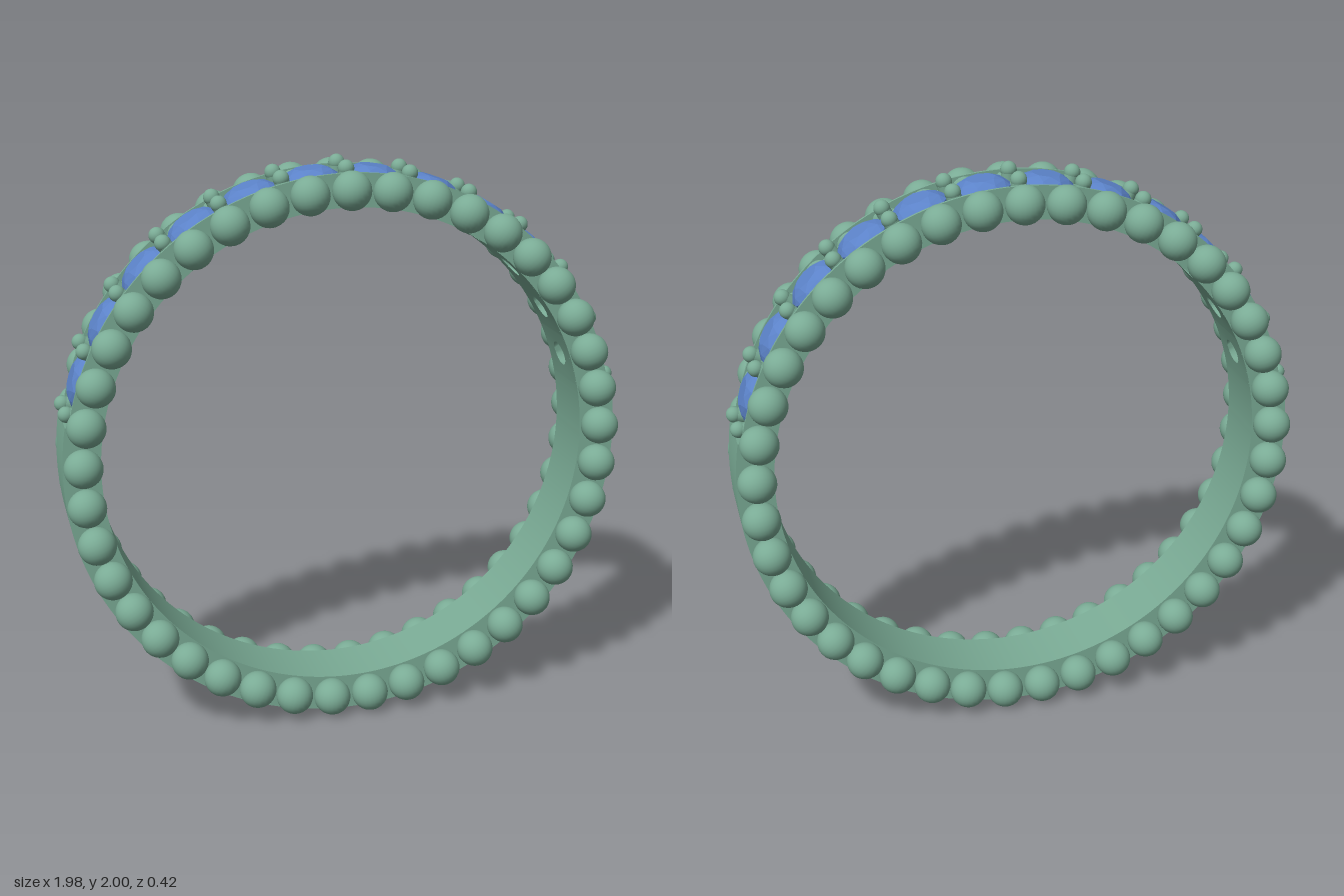
import * as THREE from 'three';
import { toCreasedNormals } from 'three/addons/utils/BufferGeometryUtils.js';
import { ConvexGeometry } from 'three/addons/geometries/ConvexGeometry.js';

const DEG = Math.PI / 180;
const CY = 0.988, R_IN = 0.86, R_OUT = 0.988, R_SEAT = 0.95, R_RIM = 0.975;
const HALF_W = 0.11, SEAT_W = 0.1, STEP = 13 * DEG, STONES = 12;

const metal = new THREE.MeshStandardMaterial({ color: 0x7aab95 });
const gem = new THREE.MeshStandardMaterial({ color: 0x5b82c8, flatShading: true });

// Solid arc of the band; angles are clockwise from the top
function arcSolid(radius, a0, a1, z0, z1) {
  const s = new THREE.Shape();
  const t0 = Math.PI / 2 - a0, t1 = Math.PI / 2 - a1;
  s.absarc(0, 0, radius, t0, t1, true);
  s.absarc(0, 0, R_IN, t1, t0, false);
  s.closePath();
  const g = new THREE.ExtrudeGeometry(s, { depth: z1 - z0, bevelEnabled: false, curveSegments: 96 });
  g.translate(0, 0, z0);
  return toCreasedNormals(g, 0.5);
}

// One curved cell of the upper band with a tapered hole through it
function seatCell() {
  const n = 32, pos = [], idx = [];
  // each row: radius on the band, hole radius, blend from hole (0) to cell edge (1)
  const rows = [
    [R_SEAT, 0.08, 1], [R_SEAT, 0.08, 0.5], [R_SEAT, 0.08, 0],
    [R_IN, 0.045, 0], [R_IN, 0.045, 0.5], [R_IN, 0.045, 1],
  ];
  for (const [R, hole, k] of rows) {
    for (let j = 0; j <= n; j++) {
      const c = Math.cos(j / n * 2 * Math.PI), s = Math.sin(j / n * 2 * Math.PI);
      const m = Math.max(Math.abs(c), Math.abs(s));
      const a = THREE.MathUtils.lerp(hole * c / R, STEP / 2 * c / m, k);
      const z = THREE.MathUtils.lerp(hole * s, SEAT_W * s / m, k);
      pos.push(R * Math.sin(a), R * Math.cos(a), z);
    }
  }
  for (let i = 0; i < rows.length - 1; i++) {
    for (let j = 0; j < n; j++) {
      const a = i * (n + 1) + j, b = a + 1, c = a + n + 1, d = c + 1;
      idx.push(a, c, b, b, c, d);
    }
  }
  const g = new THREE.BufferGeometry();
  g.setAttribute('position', new THREE.Float32BufferAttribute(pos, 3));
  g.setIndex(idx);
  return toCreasedNormals(g, 0.5);
}

// Round faceted stone, table facing +y
function stoneGeometry() {
  const pts = [];
  const ring = (count, r, y, offset) => {
    for (let i = 0; i < count; i++) {
      const a = (i + offset) / count * 2 * Math.PI;
      pts.push(new THREE.Vector3(r * Math.cos(a), y, r * Math.sin(a)));
    }
  };
  ring(8, 0.05, 0.987, 0);
  ring(8, 0.077, 0.975, 0.5);
  ring(16, 0.096, 0.957, 0);
  ring(16, 0.096, 0.951, 0);
  ring(8, 0.05, 0.912, 0.5);
  pts.push(new THREE.Vector3(0, 0.882, 0));
  return new ConvexGeometry(pts);
}

export function createModel() {
  const root = new THREE.Group();
  root.name = 'ring';
  const ring = new THREE.Group();
  ring.name = 'ringBody';
  ring.position.y = CY;
  root.add(ring);

  const add = (name, geometry, material, angle = 0, radius = 0, z = 0) => {
    const m = new THREE.Mesh(geometry, material);
    m.name = name;
    m.position.set(radius * Math.sin(angle), radius * Math.cos(angle), z);
    m.rotation.z = -angle;
    ring.add(m);
  };

  // Plain lower band, and the thin rims and ends of the stone channel
  const end = 80 * DEG, last = STEP * STONES / 2;
  add('lowerBand', arcSolid(R_OUT, end, 2 * Math.PI - end, -HALF_W, HALF_W), metal);
  add('frontChannelRim', arcSolid(R_RIM, -end, end, SEAT_W, HALF_W), metal);
  add('backChannelRim', arcSolid(R_RIM, -end, end, -HALF_W, -SEAT_W), metal);
  add('leftChannelEnd', arcSolid(R_SEAT, last, end, -SEAT_W, SEAT_W), metal);
  add('rightChannelEnd', arcSolid(R_SEAT, -end, -last, -SEAT_W, SEAT_W), metal);

  // Pierced seats with their stones
  const cell = seatCell(), stone = stoneGeometry();
  for (let i = 0; i < STONES; i++) {
    const a = (i - (STONES - 1) / 2) * STEP;
    add('stoneSeat', cell, metal, a);
    add('stone', stone, gem, a);
  }

  // Pairs of round-headed prongs between the stones
  const head = new THREE.SphereGeometry(0.028, 16, 12);
  const post = new THREE.CylinderGeometry(0.026, 0.026, 0.05, 16, 1, true);
  for (let i = 0; i <= STONES; i++) {
    const a = (i - STONES / 2) * STEP;
    for (const z of [-0.064, 0.064]) {
      add('prongHead', head, metal, a, 0.984, z);
      add('prongPost', post, metal, a, 0.959, z);
    }
  }

  // Rows of beads along both sides
  const bead = new THREE.SphereGeometry(0.066, 24, 16);
  const beads = 41;
  for (let i = 0; i < beads; i++) {
    for (const z of [-0.144, 0.144]) add('bead', bead, metal, i / beads * 2 * Math.PI, 0.922, z);
  }
  return root;
}
